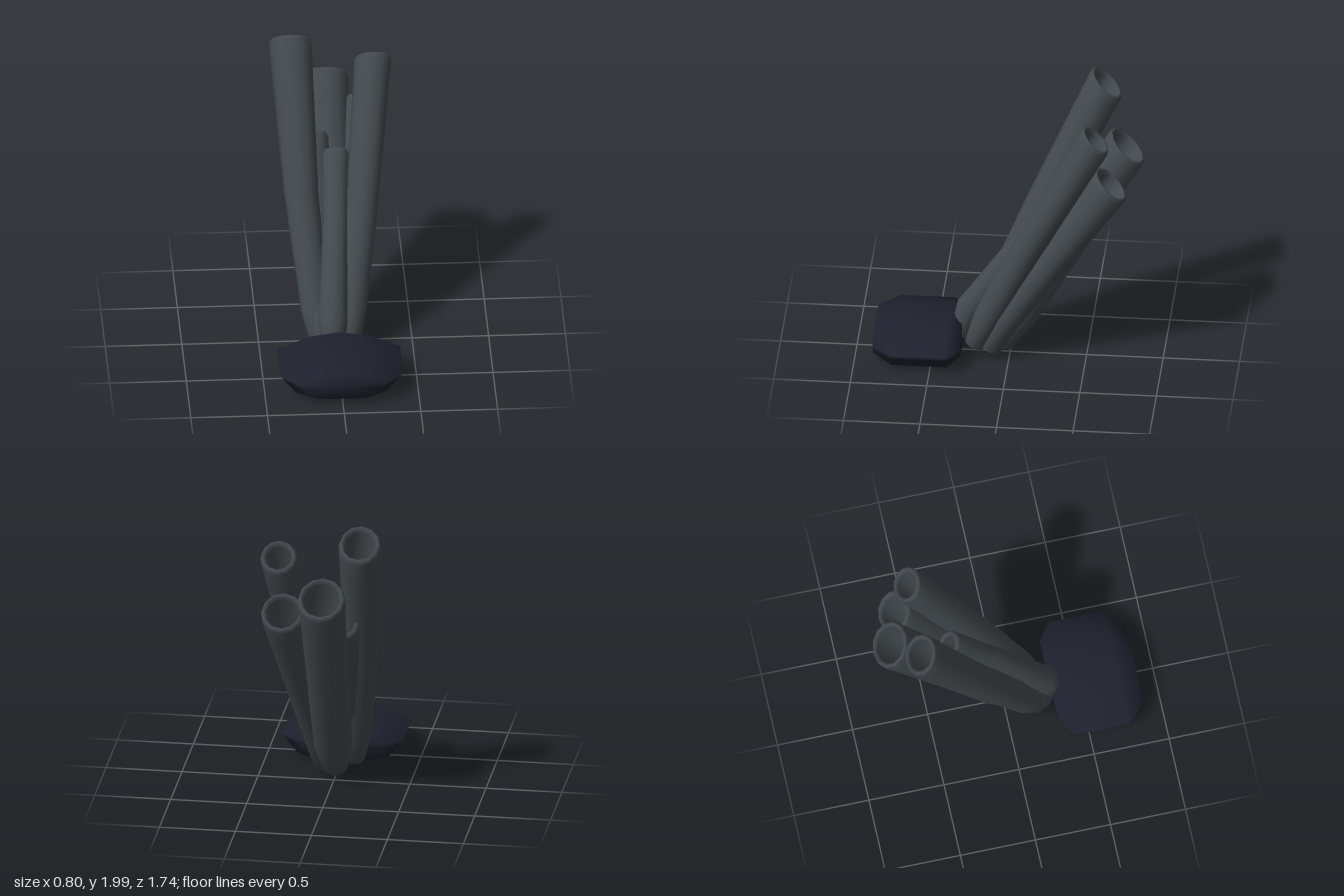
import * as THREE from 'three';

// Skin a list of closed rings (counter-clockwise about the travel direction), capped at both ends
function loft(rings) {
  const n = rings[0].length, pos = [], idx = [];
  rings.forEach(r => r.forEach(p => pos.push(p.x, p.y, p.z)));
  for (let i = 0; i < rings.length - 1; i++) {
    for (let j = 0; j < n; j++) {
      const a = i * n + j, b = i * n + (j + 1) % n;
      idx.push(a, b, b + n, a, b + n, a + n);
    }
  }
  const cap = (start, flip) => {
    const c = new THREE.Vector3();
    const ring = rings[start];
    ring.forEach(p => c.addScaledVector(p, 1 / n));
    const k = pos.length / 3;
    pos.push(c.x, c.y, c.z);
    for (let j = 0; j < n; j++) {
      const a = start * n + j, b = start * n + (j + 1) % n;
      if (flip) idx.push(k, b, a); else idx.push(k, a, b);
    }
  };
  cap(0, true);
  cap(rings.length - 1, false);
  const g = new THREE.BufferGeometry();
  g.setAttribute('position', new THREE.Float32BufferAttribute(pos, 3));
  g.setIndex(idx);
  g.computeVertexNormals();
  return g;
}

// Circle of points around a centre, facing along normal
function ring(c, r, normal, sides = 12) {
  const u = new THREE.Vector3(1, 0, 0).addScaledVector(normal, -normal.x).normalize();
  const v = normal.clone().cross(u);
  return Array.from({ length: sides }, (_, j) => {
    const a = (j / sides) * Math.PI * 2;
    return c.clone().addScaledVector(u, Math.cos(a) * r).addScaledVector(v, Math.sin(a) * r);
  });
}

// Hollow leaning pipe; each station is [x, y, z, radius] from foot to mouth
function pipeGeometry(stations) {
  const mouth = new THREE.Vector3(0, 0.72, -0.7).normalize();
  const pts = stations.map(s => new THREE.Vector3(s[0], s[1], s[2]));
  const last = pts.length - 1, top = pts[last], r = stations[last][3];
  const axis = top.clone().sub(pts[last - 1]).normalize();
  const rings = [];
  for (let i = 0; i < last; i++) {
    rings.push(ring(pts[i], stations[i][3], pts[i + 1].clone().sub(pts[i]).normalize()));
  }
  // rounded lip, then down the bore
  const lip = [[-0.16, r * 0.97], [-0.025, r], [0, r - 0.012], [0, r - 0.026], [-0.03, r - 0.038], [-0.35, r * 0.6]];
  lip.forEach(([d, rad]) => rings.push(ring(top.clone().addScaledVector(axis, d), rad, mouth)));
  return loft(rings);
}

export function createModel() {
  const model = new THREE.Group();
  const pipeMat = new THREE.MeshStandardMaterial({ color: 0x444b4f });
  pipeMat.name = 'slate grey';
  const baseMat = new THREE.MeshStandardMaterial({ color: 0x20202e });
  baseMat.name = 'dark navy';

  const pipes = {
    tallRightPipe: [[-0.1, 0.1, 0.2, 0.075], [-0.13, 0.3, 0.12, 0.1], [-0.21, 1.0, -0.19, 0.112], [-0.26, 1.905, -0.61, 0.14]],
    tallLeftPipe: [[0.08, 0.1, 0.22, 0.07], [0.1, 0.3, 0.14, 0.095], [0.18, 0.9, -0.14, 0.105], [0.28, 1.78, -0.585, 0.122]],
    backPipe: [[0, 0.08, 0.06, 0.085], [0, 0.3, -0.055, 0.13], [-0.01, 0.9, -0.39, 0.14], [-0.03, 1.57, -0.765, 0.158]],
    backLeftPipe: [[0.08, 0.08, 0.12, 0.075], [0.1, 0.3, 0.02, 0.1], [0.16, 0.8, -0.29, 0.12], [0.24, 1.43, -0.68, 0.145]],
    shortFrontPipe: [[-0.03, 0.12, 0.32, 0.075], [-0.03, 0.3, 0.265, 0.095], [0.005, 0.85, -0.1, 0.083], [0.02, 1.215, -0.36, 0.09]],
    shortRightPipe: [[-0.08, 0.1, 0.25, 0.07], [-0.1, 0.3, 0.14, 0.09], [-0.11, 0.8, -0.17, 0.09], [-0.125, 1.285, -0.46, 0.11]],
  };
  for (const [name, stations] of Object.entries(pipes)) {
    const mesh = new THREE.Mesh(pipeGeometry(stations), pipeMat);
    mesh.name = name;
    model.add(mesh);
  }

  // Lens-shaped foot block, narrowed at its front and back ends
  const half = [[0.2, 0.01], [0.3, 0.04], [0.37, 0.125], [0.4, 0.165], [0.2, 0.25]];
  const profile = [...half, [0, 0.28], ...half.map(([x, y]) => [-x, y]).reverse()];
  const section = (z, sx, sy) => profile.map(([x, y]) => new THREE.Vector3(x * sx, 0.14 + (y - 0.14) * sy, z));
  const foot = new THREE.Mesh(loft([
    section(0.31, 0.72, 0.68), section(0.39, 1, 1), section(0.75, 1, 1), section(0.875, 0.7, 0.68),
  ]), baseMat);
  foot.name = 'footBlock';
  model.add(foot);
  // stand on the ground plane
  foot.position.y = -0.005;
  return model;
}
